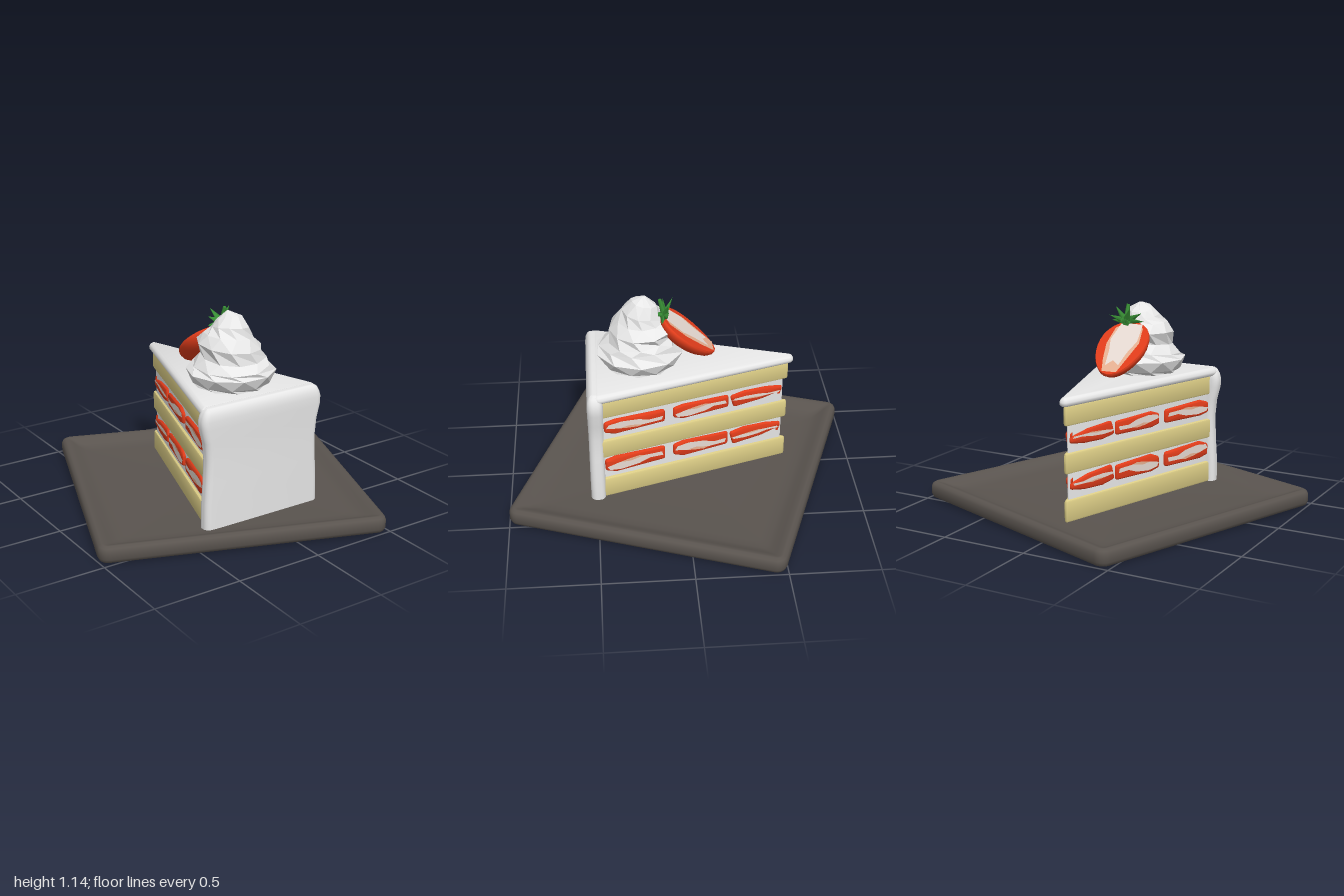
import * as THREE from 'three';
import { toCreasedNormals } from 'three/addons/utils/BufferGeometryUtils.js';

const paint = (name, color) => Object.assign(new THREE.MeshStandardMaterial({ color }), { name });

// Closed surface through rings of equal point count, listed bottom to top.
function skin(rings, crease) {
  const n = rings[0].length, pos = [], idx = [];
  rings.forEach(ring => ring.forEach(p => pos.push(...p)));
  for (let k = 0; k < rings.length - 1; k++) {
    for (let i = 0; i < n; i++) {
      const a = k * n + i, b = k * n + (i + 1) % n;
      idx.push(a, a + n, b + n, a, b + n, b);
    }
  }
  const mean = ring => [0, 1, 2].map(c => ring.reduce((s, p) => s + p[c], 0) / n);
  const last = (rings.length - 1) * n, c0 = rings.length * n;
  pos.push(...mean(rings[0]), ...mean(rings[rings.length - 1]));
  for (let i = 0; i < n; i++) {
    const j = (i + 1) % n;
    idx.push(c0, i, j, c0 + 1, last + j, last + i);
  }
  const geo = new THREE.BufferGeometry();
  geo.setAttribute('position', new THREE.Float32BufferAttribute(pos, 3));
  geo.setIndex(idx);
  if (crease > 0) return toCreasedNormals(geo, crease);
  const flat = geo.toNonIndexed();
  flat.computeVertexNormals();
  return flat;
}

// Convex outline [x, z] raised through a profile of [corner radius, y, outline scale].
function loft(core, profile, steps = 4, crease = 0.75) {
  const n = core.length;
  const normalAngle = i => {
    const p = core[i % n], q = core[(i + 1) % n];
    return Math.atan2(p[0] - q[0], q[1] - p[1]);
  };
  return skin(profile.map(([r, y, s = 1]) => core.flatMap(([x, z], i) => {
    const a = normalAngle(i + n - 1);
    let turn = normalAngle(i) - a;
    while (turn < 0) turn += Math.PI * 2;
    return Array.from({ length: steps + 1 }, (_, k) => {
      const t = a + turn * (steps ? k / steps : 0.5);
      return [x * s + r * Math.cos(t), y, z * s + r * Math.sin(t)];
    });
  })), crease);
}

// Rounded-edge profile between two heights.
const pillow = (r, y0, y1, e) => [[r - e, y0], [r - e * 0.3, y0 + e * 0.3], [r, y0 + e],
  [r, y1 - e], [r - e * 0.3, y1 - e * 0.3], [r - e, y1]];

// Flat plate from [x, z] points, facing +y.
function patch(points, y) {
  const shape = new THREE.Shape(points.map(([x, z]) => new THREE.Vector2(x, -z)));
  return new THREE.ShapeGeometry(shape).rotateX(-Math.PI / 2).translate(0, y, 0);
}

export function createModel() {
  const model = new THREE.Group();
  const plateMat = paint('plate grey', 0x5a544f);
  const cream = paint('cream white', 0xf6f6f6);
  const sponge = paint('sponge yellow', 0xdccd86);
  const red = paint('strawberry red', 0xe23d1b);
  const pink = paint('strawberry pink', 0xf0b898);
  const pale = paint('strawberry pale', 0xf3e6de);
  const green = paint('leaf green', 0x388f35);
  const add = (name, geo, mat, parent = model) => {
    const mesh = new THREE.Mesh(geo, mat);
    mesh.name = name;
    parent.add(mesh);
    return mesh;
  };

  // Square plate with a shallow basin, turned on the table
  const h = 0.733;
  const plate = add('plate', loft([[-h, -h], [h, -h], [h, h], [-h, h]], [
    [0.03, 0], [0.05, 0.008], [0.06, 0.028], [0.06, 0.07], [0.052, 0.087], [0.035, 0.097],
    [0.02, 0.095], [0.02, 0.085, 0.965], [0.03, 0.068, 0.91], [0.04, 0.057, 0.85], [0.04, 0.053, 0.78]],
  5), plateMat);
  plate.rotation.y = -Math.PI / 9;

  // Sponge layers around a recessed cream filling
  const wedge = (tip, half, back) => [[-0.02, tip], [-0.02 + half, back], [-0.02 - half, back]];
  for (const [y0, y1] of [[0.05, 0.175], [0.32, 0.435], [0.585, 0.698]]) {
    add('spongeLayer', loft(wedge(-0.6, 0.335, 0.47), pillow(0.013, y0, y1, 0.012)), sponge);
  }
  add('creamFilling', loft(wedge(-0.58, 0.322, 0.47), [[0.006, 0.09], [0.006, 0.69]]), cream);

  // Frosting on the top and the outer end, which is pinched at mid height
  add('topFrosting', loft(wedge(-0.61, 0.343, 0.478), [[0, 0.695], [0.02, 0.697], [0.029, 0.708],
    [0.03, 0.72], [0.022, 0.735], [0.01, 0.742], [0, 0.745]], 6, 1.2), cream);
  add('endFrosting', loft([[-0.345, -0.008], [0.345, -0.008], [0.345, 0.008], [-0.345, 0.008]], [
    [0.033, 0.05, 0.99], [0.034, 0.2, 0.98], [0.034, 0.32, 0.955], [0.034, 0.45, 0.94],
    [0.035, 0.55, 0.965], [0.036, 0.63, 1.02], [0.036, 0.675, 1.025], [0.033, 0.705, 1.01],
    [0.024, 0.73, 0.995], [0.012, 0.742, 0.98], [0.001, 0.745, 0.97]], 5, 1.2), cream)
    .position.set(-0.02, 0, 0.498);

  // Strawberry slices set into both cut sides
  const blunt = [[-1, -0.7], [-0.7, -1], [1, -0.85], [1, 0.7], [-0.7, 1], [-1, 0.5]];
  const blade = [[-1, -0.6], [-0.5, -1], [0.4, -0.9], [1, -0.5], [1, -0.2], [0.2, 0.6], [-0.9, 1]];
  const paleStreak = [[-1.05, -0.1], [-0.6, 0.35], [-0.2, 0.15], [0.3, 0.6], [0.95, 0.5], [1, -0.2],
    [0.5, -0.1], [0.1, -0.7], [-0.5, -1], [-0.95, -0.75]];
  const pinkStreak = [[-0.6, 0.35], [-0.2, 0.15], [0.3, 0.6], [0.1, 0.8], [-0.3, 0.6]];
  const spans = [[0.45, 0.11], [0.06, -0.26], [-0.275, -0.58]];
  for (const side of [-1, 1]) {
    const along = new THREE.Vector3(-side * 0.35, 0, -1.11).normalize();
    const out = new THREE.Vector3(side * 1.11, 0, -0.35).normalize();
    const basis = new THREE.Matrix4().makeBasis(along, out, along.clone().cross(out));
    [0.26, 0.515].forEach((y, row) => spans.forEach(([za, zb], k) => {
      const slice = new THREE.Group();
      slice.name = 'strawberrySlice';
      const z = (za + zb) / 2, hu = (za - zb) * 0.525 - 0.014, hv = (row ? 0.046 : 0.051) - 0.014;
      const fit = (pts, f) => pts.map(([u, v]) => [u * hu, v * hv * f]);
      add('sliceFlesh', loft(fit(k === 2 ? blade : blunt, 1),
        [[0.014, -0.028], [0.014, 0.001], [0.01, 0.007], [0.005, 0.009]], 3), red, slice);
      const flip = (k + row) % 2 ? 1 : -1, f = (k === 2 ? 0.5 : 1) * flip;
      add('slicePaleCore', patch(fit(paleStreak, f), 0.0105), pale, slice);
      add('slicePinkStreak', patch(fit(pinkStreak, f), 0.0105), pink, slice);
      slice.quaternion.setFromRotationMatrix(basis);
      slice.position.set(-0.02 + side * 0.35 * (z + 0.61) / 1.11, y, z);
      model.add(slice);
    }));
  }

  // Faceted swirl of whipped cream
  let seed = 7;
  const rand = () => (seed = (seed * 16807) % 2147483647) / 2147483647 - 0.5;
  const swirl = [[0.2, 0.735], [0.22, 0.765], [0.25, 0.825], [0.215, 0.865], [0.18, 0.905],
    [0.185, 0.965], [0.135, 1.015], [0.105, 1.06], [0.07, 1.11], [0.01, 1.145]];
  add('whippedCream', skin(swirl.map(([r, y], k) => Array.from({ length: 10 }, (_, i) => {
    const a = (i + (k % 2) * 0.4) / 10 * Math.PI * 2, inner = k > 2 && k < 9 ? 1 : 0;
    const rr = r * (1 + inner * (0.06 * Math.sin(a + k * 1.9) + 0.09 * rand()));
    const lean = Math.max(0, y - 0.9) * 0.12;
    return [-0.035 + rr * Math.cos(a), y + inner * 0.018 * Math.sin(a + k * 0.8),
      0.235 - lean + rr * Math.sin(a)];
  })), 0), cream);

  // Halved strawberry leaning on the swirl, cut face outward
  const berry = new THREE.Group();
  berry.name = 'halfStrawberry';
  const egg = Array.from({ length: 28 }, (_, i) => {
    const a = i / 28 * Math.PI * 2;
    return [0.149 * Math.cos(a) * (1 + 0.18 * Math.sin(a)), 0.2 * Math.sin(a)];
  });
  add('berryFlesh', loft(egg, [[0, -0.09, 0.25], [0, -0.083, 0.5], [0, -0.067, 0.75],
    [0, -0.045, 0.92], [0, -0.02, 1], [0, -0.005, 1], [0, 0, 0.98]], 0, 0.9), red, berry);
  add('berryPinkFlesh', patch([[-0.085, 0.15], [-0.105, 0.04], [-0.075, -0.08], [-0.05, -0.178],
    [0.04, -0.18], [0.07, -0.09], [0.095, 0.02], [0.085, 0.14], [0.04, 0.17]], 0.003), pink, berry);
  add('berryPaleCore', patch([[-0.075, 0.175], [-0.09, 0.05], [-0.06, -0.04], [-0.045, -0.13], [0, -0.1],
    [0.035, -0.14], [0.055, -0.03], [0.08, 0.05], [0.06, 0.175]], 0.006), pale, berry);

  // Leafy crown: a fan of flattened spikes and a short stem
  for (let i = 0; i < 7; i++) {
    const a = i / 7 * Math.PI * 2 + 0.15;
    const dir = new THREE.Vector3(Math.cos(a), Math.sin(a) * 0.5 + 0.25, 0.1 + 0.25 * (i % 2)).normalize();
    const leaf = add('leaf', new THREE.ConeGeometry(0.034, 0.125, 6).scale(1, 1, 0.6).translate(0, 0.045, 0),
      green, berry);
    leaf.quaternion.setFromUnitVectors(new THREE.Vector3(0, 1, 0), dir);
    leaf.position.set(0.035, 0.01, 0.185);
  }
  const stem = add('stem', new THREE.CylinderGeometry(0.01, 0.018, 0.1, 6), green, berry);
  stem.rotation.x = 0.95;
  stem.position.set(0.035, 0.04, 0.225);
  berry.rotation.x = -0.69;
  berry.position.set(-0.035, 0.918, -0.04);
  model.add(berry);

  return model;
}
